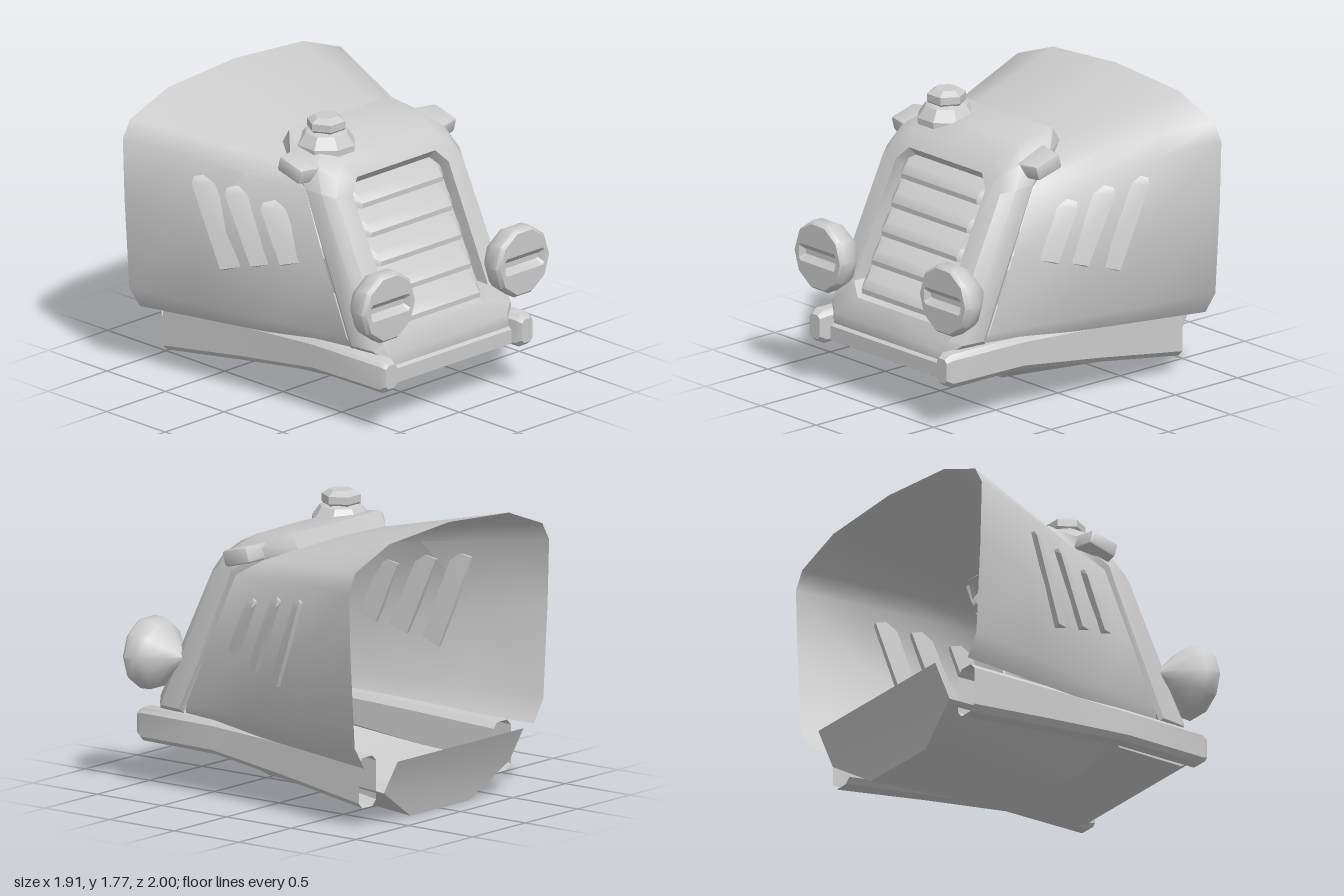
import * as THREE from 'three';
import { toCreasedNormals } from 'three/addons/utils/BufferGeometryUtils.js';
import { ConvexGeometry } from 'three/addons/geometries/ConvexGeometry.js';
import { RoundedBoxGeometry } from 'three/addons/geometries/RoundedBoxGeometry.js';

const grey = new THREE.MeshStandardMaterial({ color: 0xcccccc, side: THREE.DoubleSide });

function part(parent, name, geo, crease = 0.7) {
  const mesh = new THREE.Mesh(toCreasedNormals(geo, crease), grey);
  mesh.name = name;
  parent.add(mesh);
  return mesh;
}

// Skin through rings of [x, y, z] points, with optional end caps
function loft(rings, { closed = true, capStart = false, capEnd = false } = {}) {
  const n = rings[0].length, pos = rings.flat(2), idx = [];
  for (let r = 0; r < rings.length - 1; r++)
    for (let i = 0; i < (closed ? n : n - 1); i++) {
      const a = r * n + i, b = r * n + (i + 1) % n;
      idx.push(a, b, b + n, a, b + n, a + n);
    }
  const cap = (ring, start, flip) => {
    const c = pos.length / 3;
    pos.push(...[0, 1, 2].map(k => ring.reduce((s, p) => s + p[k], 0) / n));
    for (let i = 0; i < n; i++) {
      const a = start + i, b = start + (i + 1) % n;
      idx.push(...(flip ? [c, b, a] : [c, a, b]));
    }
  };
  if (capStart) cap(rings[0], 0, true);
  if (capEnd) cap(rings[rings.length - 1], (rings.length - 1) * n, false);
  const g = new THREE.BufferGeometry();
  g.setAttribute('position', new THREE.Float32BufferAttribute(pos, 3));
  g.setIndex(idx);
  return g;
}

// Mirror a half section; points on the centre line are kept once
const mirror = half => [...half, ...half.filter(p => p[0] > 0).reverse().map(([x, y, z]) => [-x, y, z])];
const openMirror = half => [...half, ...half.slice(0, -1).reverse().map(([x, y, z]) => [-x, y, z])];

// Sloping plane of the radiator front
const faceZ = y => 0.93 - 0.48 * (y - 0.47);

function addHood(g) {
  const front = [[0.56, 0.46, 0.67], [0.595, 0.53, 0.64], [0.595, 0.95, 0.455], [0.58, 1.38, 0.27],
    [0.53, 1.48, 0.11], [0.4, 1.55, -0.05], [0, 1.565, -0.07]];
  const back = [[0.81, 0.39, -0.91], [0.9, 0.53, -0.91], [0.94, 1.1, -0.91], [0.955, 1.5, -0.91],
    [0.89, 1.61, -0.91], [0.57, 1.73, -0.91], [0, 1.77, -0.91]];
  const rings = [0, 0.33, 0.67, 1].map(t =>
    openMirror(front.map((p, i) => p.map((v, k) => v + (back[i][k] - v) * t))));
  part(g, 'hood', loft(rings, { closed: false }), 0.8);
}

function addVents(g) {
  // Rear edge of each louver: top z, top y, bottom z, bottom y
  const vents = [[0.02, 1.27, 0.18, 0.89], [-0.22, 1.32, -0.02, 0.84], [-0.44, 1.35, -0.23, 0.78]];
  const hoodX = (y, z) => {
    const zf = 0.27 + (1.38 - y) * 0.44, xb = 0.9 + (y - 0.53) * 0.055;
    return 0.592 + (xb - 0.592) * (zf - z) / (zf + 0.91);
  };
  for (const s of [1, -1])
    vents.forEach(([zt, yt, zb, yb]) => {
      const at = (y, z, out) => new THREE.Vector3(s * (hoodX(y, z) + out), y, z);
      part(g, 'sideVent', new ConvexGeometry([
        at(yt, zt, -0.02), at(yt, zt + 0.01, 0.03), at(yt - 0.04, zt + 0.015, 0.05), at(yt + 0.02, zt + 0.07, -0.01),
        at(yt - 0.03, zt + 0.14, -0.005), at(yb, zb, -0.02), at(yb + 0.02, zb, 0.045), at(yb + 0.05, zb + 0.12, -0.005),
      ]), 0.4);
    });
}

function addGrille(g) {
  const onFace = (pts, depth) => pts.map(([x, y]) => [x, y, faceZ(y) - depth]);
  const opening = inset => [[0, 1.45 - inset], [0.33, 1.45 - inset], [0.405, 1.37 - inset],
    [0.405, 1], [0.405, 0.67], [0.33, 0.59 + inset / 3], [0, 0.59 + inset / 3]];
  const rings = [
    [[0, 1.55, -0.075], [0.42, 1.56, -0.085], [0.52, 1.5, 0.07], [0.575, 1.38, 0.27], [0.59, 0.48, 0.665],
      [0.48, 0.4, 0.7], [0, 0.4, 0.7]],
    [[0, 1.64, -0.03], [0.42, 1.65, -0.03], [0.54, 1.56, 0.1], [0.6, 1.4, 0.29], [0.605, 0.5, 0.69],
      [0.49, 0.4, 0.74], [0, 0.4, 0.74]],
    [[0, 1.615, 0.24], [0.42, 1.61, 0.24], [0.535, 1.52, 0.33], [0.585, 1.39, 0.41], [0.585, 0.5, 0.85],
      [0.49, 0.4, 0.92], [0, 0.4, 0.92]],
    [[0, 1.54, 0.39], [0.38, 1.54, 0.39], [0.48, 1.47, 0.445], [0.53, 1.37, 0.49], [0.535, 0.54, 0.89],
      [0.47, 0.47, 0.93], [0, 0.47, 0.93]],
    onFace(opening(0), 0),
    onFace(opening(0.07), 0.1),
  ].map(mirror);
  part(g, 'radiatorFrame', loft(rings, { capEnd: true }), 0.75);

  // Overlapping slats with tapered ends
  for (let i = 0; i < 5; i++) {
    const y0 = 1.26 - i * 0.165;
    const section = (x, k) => [[0.15, 0.1], [0.08, 0.035], [0.035, 0.02], [0.005, 0.035], [0.005, 0.11]]
      .map(([dy, d]) => [x, y0 + dy, faceZ(y0 + dy) - d - (0.11 - d) * k]);
    part(g, 'grilleSlat', loft([section(-0.4, 0.7), section(-0.34, 0), section(0.34, 0), section(0.4, 0.7)],
      { capStart: true, capEnd: true }), 0.6);
  }
}

function addLatches(g) {
  for (const s of [1, -1]) {
    const geo = new RoundedBoxGeometry(0.2, 0.1, 0.26, 1, 0.02);
    const p = geo.attributes.position;
    for (let i = 0; i < p.count; i++)
      if (p.getX(i) * s > 0) p.setZ(i, p.getZ(i) * 0.75);
    const latch = part(g, 'hoodLatch', geo);
    latch.position.set(s * 0.56, 1.51, 0.21);
    latch.rotation.x = 0.26;
  }
}

function addFillerCap(g) {
  const cap = new THREE.Group();
  cap.name = 'fillerCap';
  const v = (x, y) => new THREE.Vector2(x, y);
  part(cap, 'capBase', new THREE.LatheGeometry(
    [v(0.182, -0.05), v(0.185, 0.03), v(0.135, 0.1), v(0.09, 0.12), v(0, 0.12)], 8, Math.PI / 8), 0.5);
  part(cap, 'capKnob', new THREE.LatheGeometry(
    [v(0.1, 0.1), v(0.12, 0.125), v(0.12, 0.17), v(0.075, 0.2), v(0, 0.2)], 6, Math.PI / 2), 0.5);
  cap.position.set(-0.31, 1.57, 0.175);
  g.add(cap);
}

function addHeadlights(g) {
  const decagon = r => Array.from({ length: 10 }, (_, i) =>
    new THREE.Vector2(r * Math.cos(i * Math.PI / 5), r * Math.sin(i * Math.PI / 5)));
  const slot = (k, z) => [[-0.165, 0], [-0.165, 0.04], [-0.15, 0.055], [0.15, 0.055], [0.165, 0.04],
    [0.165, -0.04], [0.15, -0.055], [-0.15, -0.055], [-0.165, -0.04]].map(([x, y]) => [x * (0.8 + 0.2 * k), y * k, z]);
  for (const s of [1, -1]) {
    const lamp = new THREE.Group();
    lamp.name = 'headlight';
    // Bowl tapering to the rear
    const bowl = new THREE.LatheGeometry([[0.02, -0.31], [0.1, -0.24], [0.195, -0.15], [0.222, -0.1], [0.225, -0.025],
      [0.205, 0]].map(([x, y]) => new THREE.Vector2(x, y)), 10, Math.PI / 2);
    bowl.rotateX(Math.PI / 2);
    part(lamp, 'headlightBowl', bowl, 0.8);
    // Front glass with a sunken slot
    const face = new THREE.Shape(decagon(0.205));
    face.holes.push(new THREE.Path(slot(1, 0).map(([x, y]) => new THREE.Vector2(x, y))));
    part(lamp, 'headlightFace', new THREE.ShapeGeometry(face));
    part(lamp, 'headlightSlot', loft([slot(1, 0), slot(0.3, -0.035)], { capEnd: true }), 0.4);
    lamp.position.set(s * 0.567, 0.81, 0.987);
    g.add(lamp);
  }
}

function addChassis(g) {
  // Side rails, spreading and dropping toward the open rear
  const rail = (s, z, x0, x1, y0, y1, c) => [[x0 + c, y0], [x1 - c, y0], [x1, y0 + c], [x1, y1 - c],
    [x1 - c, y1], [x0 + c, y1], [x0, y1 - c], [x0, y0 + c]].map(([x, y]) => [s * x, y, z]);
  for (const s of [1, -1])
    part(g, 'sideRail', loft([
      rail(s, 1, 0.53, 0.62, 0.3, 0.45, 0.02),
      rail(s, 0.96, 0.51, 0.64, 0.27, 0.475, 0.03),
      rail(s, 0.4, 0.51, 0.645, 0.265, 0.472, 0.03),
      rail(s, -0.16, 0.53, 0.68, 0.195, 0.455, 0.035),
      rail(s, -0.8, 0.56, 0.725, 0.11, 0.42, 0.035),
    ], { capStart: true }), 0.6);

  // Front bumper and the plate behind it
  const bumper = [[0.28, 0.38], [0.26, 0.42], [0.26, 0.87], [0.29, 0.93], [0.38, 0.93], [0.41, 0.88], [0.41, 0.62]];
  part(g, 'frontBumper', loft([0.53, -0.53].map(x => bumper.map(([y, z]) => [x, y, z])),
    { capStart: true, capEnd: true }), 0.6);

  // Trough-shaped belly pan and its rear plate
  part(g, 'bellyPan', loft([
    [[0.52, 0.28, 0.42], [0.4, 0.27, 0.41], [0, 0.27, 0.4]],
    [[0.53, 0.27, 0.28], [0.28, 0.1, 0.26], [0, 0.1, 0.26]],
    [[0.6, 0.2, -0.893], [0.28, 0, -0.84], [0, 0, -0.84]],
  ].map(openMirror), { closed: false }), 0.7);
  part(g, 'rearPlate', loft([[0.6, 0.41, -1], [0.6, 0.2, -0.893], [0.28, 0, -0.84]]
    .map(([x, y, z]) => [[x, y, z], [-x, y, z]]), { closed: false }));
}

export function createModel() {
  const g = new THREE.Group();
  g.name = 'tractorFront';
  addHood(g);
  addVents(g);
  addGrille(g);
  addLatches(g);
  addFillerCap(g);
  addHeadlights(g);
  addChassis(g);
  return g;
}
